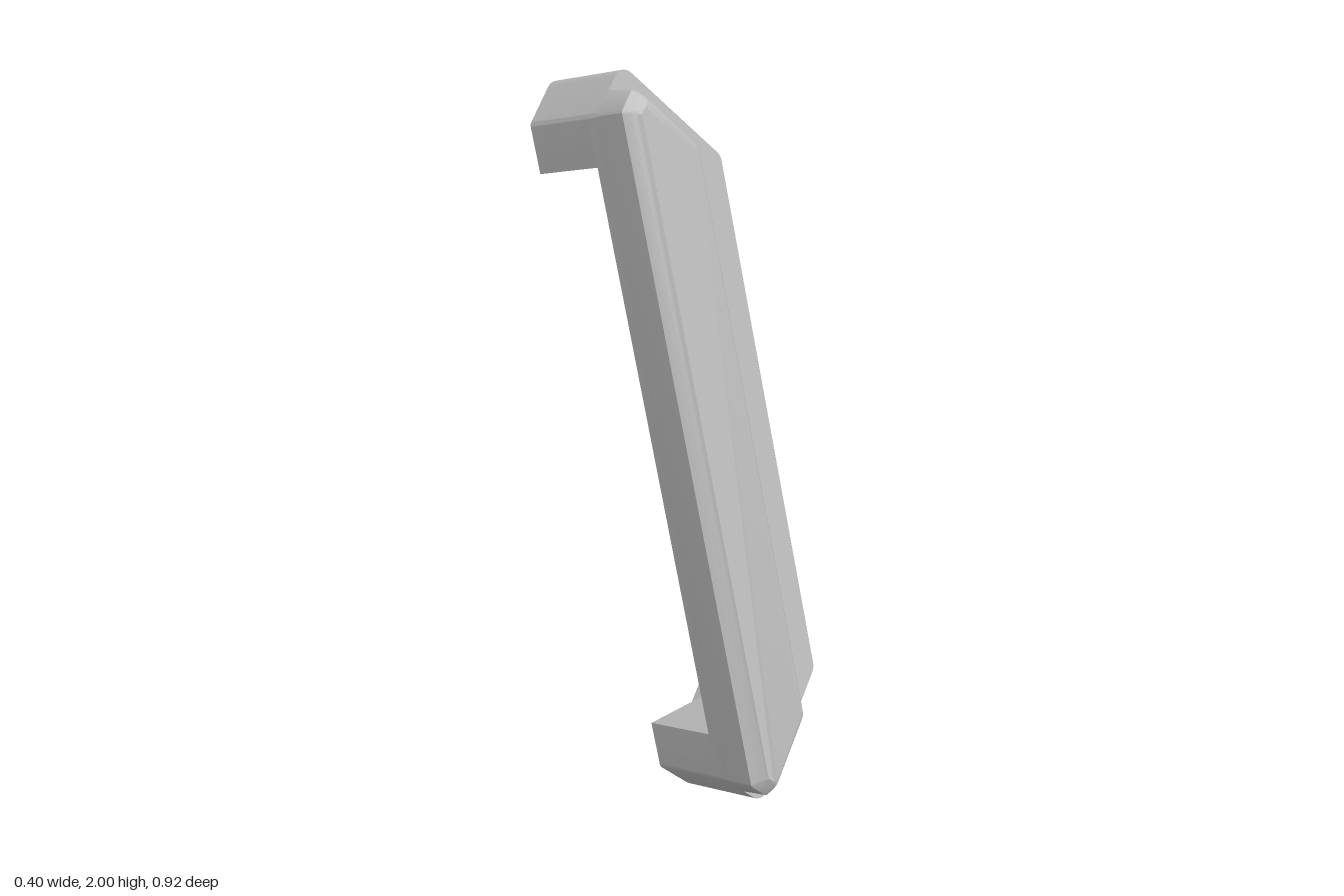
import * as THREE from 'three';
import { toCreasedNormals } from 'three/addons/utils/BufferGeometryUtils.js';

const V = (x, y) => new THREE.Vector2(x, y);
const SPAN = 1.945; // mirror the lower end onto the upper end: v -> SPAN - v

// Turns corners [x, y, radius] into a polygon with rounded corners.
function rounded(corners, steps = 5) {
  const out = [];
  corners.forEach(([x, y, r], i) => {
    const n = corners.length;
    const p = V(x, y);
    if (!r) return out.push(p);
    const a = V(...corners[(i + n - 1) % n]).sub(p).normalize();
    const b = V(...corners[(i + 1) % n]).sub(p).normalize();
    const half = Math.acos(THREE.MathUtils.clamp(a.dot(b), -1, 1)) / 2;
    const t = r / Math.tan(half);
    const mid = a.clone().add(b).normalize();
    const c = p.clone().addScaledVector(mid, r / Math.sin(half));
    const s = p.clone().addScaledVector(a, t).sub(c);
    const e = p.clone().addScaledVector(b, t).sub(c);
    let sweep = e.angle() - s.angle();
    if (sweep > Math.PI) sweep -= 2 * Math.PI;
    if (sweep < -Math.PI) sweep += 2 * Math.PI;
    for (let k = 0; k <= steps; k++) {
      out.push(s.clone().rotateAround(V(0, 0), sweep * k / steps).add(c));
    }
  });
  return out;
}

const flip = (pts) => pts.map((p) => V(p.x, SPAN - p.y)).reverse();

// Extrudes a polygon from depth z0 to z1, with an optional round hole.
function slab(pts, z0, z1, hole) {
  const shape = new THREE.Shape(pts);
  if (hole) shape.holes.push(new THREE.Path().absarc(hole[0], hole[1], hole[2], 0, Math.PI * 2, true));
  const g = new THREE.ExtrudeGeometry(shape, { depth: z1 - z0, bevelEnabled: false, curveSegments: 10 });
  g.translate(0, 0, z0);
  return toCreasedNormals(g, 0.5);
}

// Raised front panel: rings inset by a on the open side and b on the other.
function panelGeometry() {
  const levels = [[0.36, 0, 0], [0.46, 0, 0.015], [0.475, 0.015, 0.018], [0.482, 0.022, 0.021],
    [0.489, 0.029, 0.026], [0.493, 0.033, 0.032], [0.495, 0.035, 0.04]];
  const pos = [], index = [];
  let n = 0;
  for (const [z, a, b] of levels) {
    const L = -0.2 + a, R = 0.035 - b;
    const p = 2.076 - a * Math.SQRT2, q = 1.796 - b * Math.SQRT2;
    const top = [[R, q - R, 0.03], [(q - p) / 2, (q + p) / 2, 0.012], [L, L + p, 0.012]];
    const low = top.map(([x, y, r]) => [x, SPAN - y, r]).reverse();
    const ring = rounded([...top, ...low]);
    n = ring.length;
    ring.forEach((v) => pos.push(v.x, v.y, z));
  }
  for (let k = 0; k < levels.length - 1; k++) {
    for (let i = 0; i < n; i++) {
      const j = (i + 1) % n, a = k * n, b = a + n;
      index.push(a + i, a + j, b + j, a + i, b + j, b + i);
    }
  }
  const cap = (levels.length - 1) * n;
  for (let i = 1; i < n - 1; i++) index.push(cap, cap + i, cap + i + 1);
  const g = new THREE.BufferGeometry();
  g.setAttribute('position', new THREE.Float32BufferAttribute(pos, 3));
  g.setIndex(index);
  return toCreasedNormals(g, 0.5);
}

export function createModel() {
  const grey = new THREE.MeshStandardMaterial({ color: 0xbcbcbc });
  grey.name = 'grey';
  const model = new THREE.Group();
  model.name = 'housing';
  const shell = new THREE.Group();
  shell.name = 'tiltedShell';
  shell.rotation.x = -Math.PI / 12;
  model.add(shell);
  const add = (name, geometry) => {
    const m = new THREE.Mesh(geometry, grey);
    m.name = name;
    shell.add(m);
  };

  // Front panel and the full outline plate behind it
  add('frontPanel', panelGeometry());
  const lowEnd = [[-0.2, 0.069, 0.02], [-0.088, -0.043, 0.039], [0.2, 0.245, 0.039]];
  const highEnd = lowEnd.map(([x, y, r]) => [x, SPAN - y, r]).reverse();
  add('frontPlate', slab(rounded([...lowEnd, ...highEnd]), 0.33, 0.367));

  // Raised floor strip beside the side wall
  const strip = [V(0, 0.12), V(0.17, 0.25), V(0.17, SPAN - 0.25), V(0, SPAN - 0.12)];
  add('floorStrip', slab(strip, 0.3, 0.335));

  // End block and side wall, open on the -x side, up to height h
  const hook = (h) => rounded([[-0.2, 0.2, 0], ...lowEnd, [0.2, h, 0], [0.14, h, 0],
    [0.14, 0.285, 0.03], [0.055, 0.2, 0.02]]);
  // Deeper rear lip of the wall
  const lip = rounded([[0.016, 0.061, 0], [0.2, 0.245, 0.039], [0.2, 0.72, 0], [0.14, 0.72, 0],
    [0.14, 0.285, 0.03], [0.016, 0.161, 0]]);

  for (const [end, place] of [['lower', (p) => p], ['upper', flip]]) {
    const holeY = end === 'lower' ? 0.11 : SPAN - 0.11;
    add(end + 'WallFront', slab(place(hook(SPAN / 2)), 0.22, 0.33));
    add(end + 'WallWithScrewHole', slab(place(hook(0.72)), 0.1, 0.22, [-0.088, holeY, 0.033]));
    add(end + 'RearLip', slab(place(lip), 0.028, 0.1));
  }
  return model;
}
